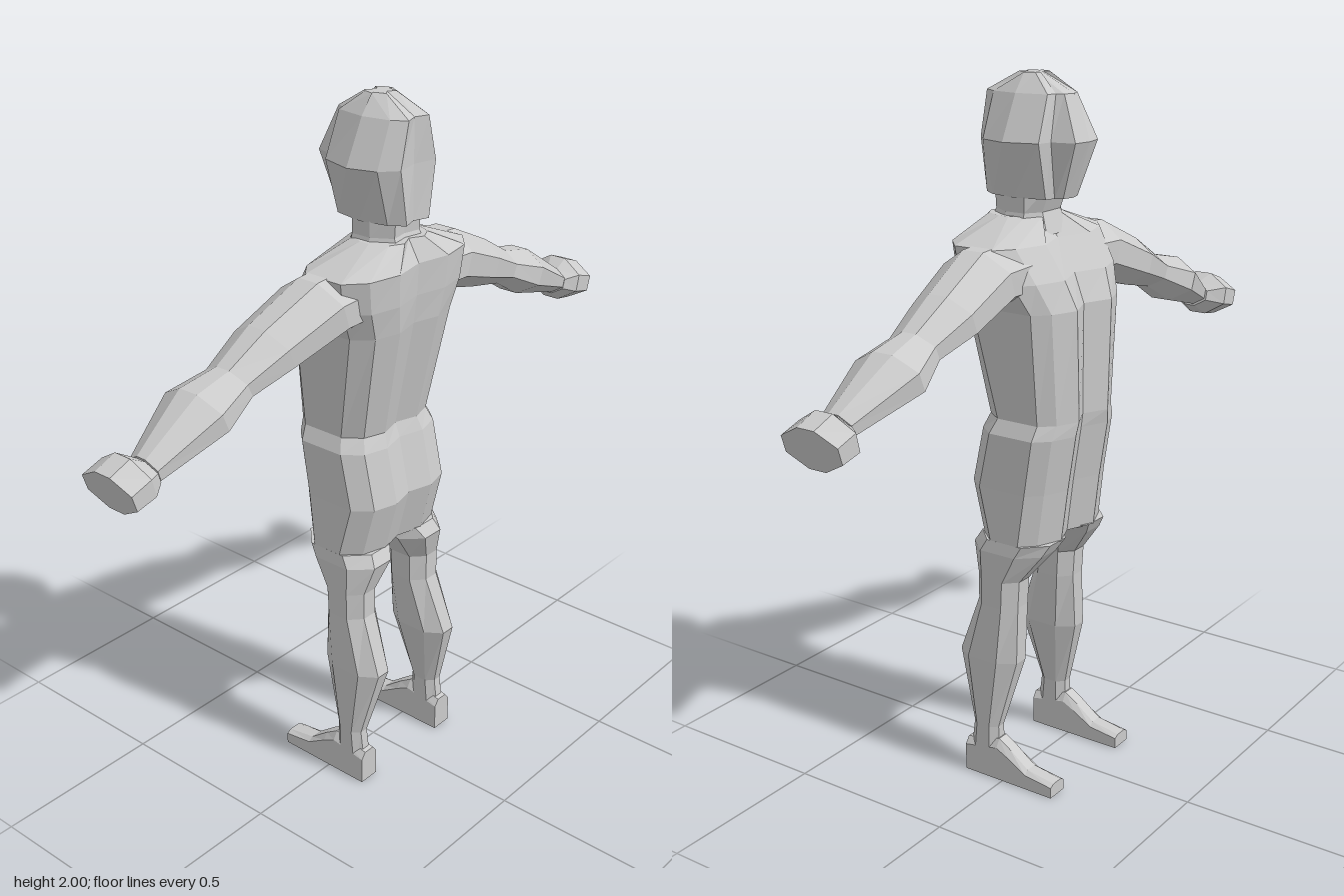
import * as THREE from 'three';

const material = new THREE.MeshStandardMaterial({ color: 0xcccccc, flatShading: true });

// Skin a row of cross-sections (counter-clockwise about the row direction), with end caps
function loft(name, rings) {
  const pos = [], index = [], n = rings[0].length;
  rings.forEach(r => r.forEach(p => pos.push(...p)));
  for (let j = 0; j < rings.length - 1; j++) {
    for (let i = 0; i < n; i++) {
      const a = j * n + i, b = j * n + (i + 1) % n;
      index.push(a, b, b + n, a, b + n, a + n);
    }
  }
  [0, rings.length - 1].forEach((j, end) => {
    const c = pos.length / 3;
    pos.push(...[0, 1, 2].map(k => rings[j].reduce((s, p) => s + p[k], 0) / n));
    for (let i = 0; i < n; i++) {
      const a = j * n + i, b = j * n + (i + 1) % n;
      if (end) index.push(c, a, b); else index.push(c, b, a);
    }
  });
  const geo = new THREE.BufferGeometry();
  geo.setAttribute('position', new THREE.Float32BufferAttribute(pos, 3));
  geo.setIndex(index);
  const flat = geo.toNonIndexed();
  flat.computeVertexNormals();
  const mesh = new THREE.Mesh(flat, material);
  mesh.name = name;
  return mesh;
}

// Level symmetric ring from [x, z] points running from back centre to front centre
function symmetric(y, half) {
  const right = half.map(([x, z]) => [x, y, z]);
  const left = half.slice(1, -1).reverse().map(([x, z]) => [-x, y, z]);
  return [...right, ...left];
}

// Octagonal level ring between two x and two z limits
function legRing([y, x0, x1, zb, zf]) {
  const at = (u, v) => [x0 + (x1 - x0) * u, y, zf + (zb - zf) * v];
  return [at(0.3, 1), at(0.7, 1), at(1, 0.75), at(1, 0.25), at(0.7, 0), at(0.3, 0), at(0, 0.25), at(0, 0.75)];
}

// Octagonal tilted ring from a top point, a bottom point and two z limits
function armRing([xt, yt, xb, yb, zb, zf]) {
  const at = (u, v) => [xt + (xb - xt) * u, yt + (yb - yt) * u, zf + (zb - zf) * v];
  return [at(0, 0.35), at(0, 0.65), at(0.3, 1), at(0.7, 1), at(1, 0.65), at(1, 0.35), at(0.7, 0), at(0.3, 0)];
}

const mirrored = rings => rings.map(r => r.map(([x, y, z]) => [-x, y, z]).reverse());

export function createModel() {
  const model = new THREE.Group();
  model.name = 'figure';

  // Torso: y, half width, back z, front z, with a groove down the spine and chest
  const torso = [
    [0.735, 0.195, 0.11, -0.12], [0.89, 0.19, 0.15, -0.14], [1.05, 0.19, 0.115, -0.165],
    [1.09, 0.17, 0.1, -0.17], [1.4, 0.2, 0.16, -0.17], [1.48, 0.235, 0.17, -0.14],
    [1.57, 0.25, 0.175, -0.085], [1.63, 0.1, 0.14, -0.03],
  ].map(([y, w, zb, zf]) => symmetric(y, [
    [0, zb - 0.02], [0.4 * w, zb], [0.78 * w, zb - 0.02], [w, zb - 0.07],
    [w, zf + 0.07], [0.8 * w, zf + 0.03], [0.42 * w, zf], [0, zf + 0.035],
  ]));
  model.add(loft('torso', torso));

  // Neck
  model.add(loft('neck', [[1.58, 0.1, 0.14, -0.05], [1.64, 0.085, 0.115, -0.03], [1.72, 0.085, 0.12, -0.06]]
    .map(([y, w, zb, zf]) => symmetric(y, [[0, zb - 0.01], [0.6 * w, zb], [w, 0.06], [w, 0], [0.5 * w, zf], [0, zf]]))));

  // Head with a ridge down the face: y, half width, back z, brow z, ridge z
  model.add(loft('head', [
    [1.68, 0.09, 0.15, -0.06, -0.1], [1.83, 0.14, 0.15, -0.065, -0.15],
    [1.95, 0.08, 0.15, -0.06, -0.1], [2, 0.04, 0.06, 0, 0],
  ].map(([y, w, zb, zf, nose]) => symmetric(y, [
    [0, zb - 0.015], [0.5 * w, zb], [0.82 * w, zb - 0.04], [w, 0.03],
    [0.8 * w, zf], [0.5 * w, zf - 0.01], [0.38 * w, nose + 0.01], [0, nose],
  ]))));

  // Arm: top x, y, bottom x, y, back z, front z
  const arm = [
    [0.14, 1.58, 0.14, 1.41, 0.13, -0.09], [0.28, 1.57, 0.23, 1.41, 0.13, -0.085],
    [0.45, 1.49, 0.4, 1.36, 0.1, -0.09], [0.57, 1.42, 0.53, 1.33, 0.075, -0.07],
    [0.68, 1.395, 0.63, 1.27, 0.095, -0.105], [0.85, 1.285, 0.83, 1.215, 0.055, -0.045],
  ].map(armRing);

  // Fist
  const hand = [
    [0.85, 1.28, 0.83, 1.21, 0.055, -0.05], [0.895, 1.305, 0.865, 1.18, 0.08, -0.095],
    [0.96, 1.28, 0.925, 1.17, 0.08, -0.095],
  ].map(armRing);

  // Leg: y, inner x, outer x, back z, front z
  const leg = [
    [0, 0.14, 0.205, 0.13, 0.02], [0.16, 0.14, 0.205, 0.11, 0.025], [0.37, 0.095, 0.205, 0.165, -0.03],
    [0.54, 0.08, 0.2, 0.105, -0.03], [0.62, 0.08, 0.2, 0.105, -0.035], [0.705, 0.025, 0.2, 0.13, -0.1],
    [0.74, 0, 0.195, 0.11, -0.12],
  ].map(legRing);

  // Foot: z, top y, swept from heel to toe
  const foot = [[-0.17, 0.04], [-0.08, 0.055], [-0.02, 0.1], [0.02, 0.125], [0.13, 0.1]]
    .map(([z, h]) => [[0.14, 0, z], [0.205, 0, z], [0.205, h * 0.8, z], [0.19, h, z], [0.155, h, z], [0.14, h * 0.8, z]]);

  for (const [name, rings] of Object.entries({ Arm: arm, Hand: hand, Leg: leg, Foot: foot })) {
    model.add(loft('left' + name, rings));
    model.add(loft('right' + name, mirrored(rings)));
  }
  return model;
}
